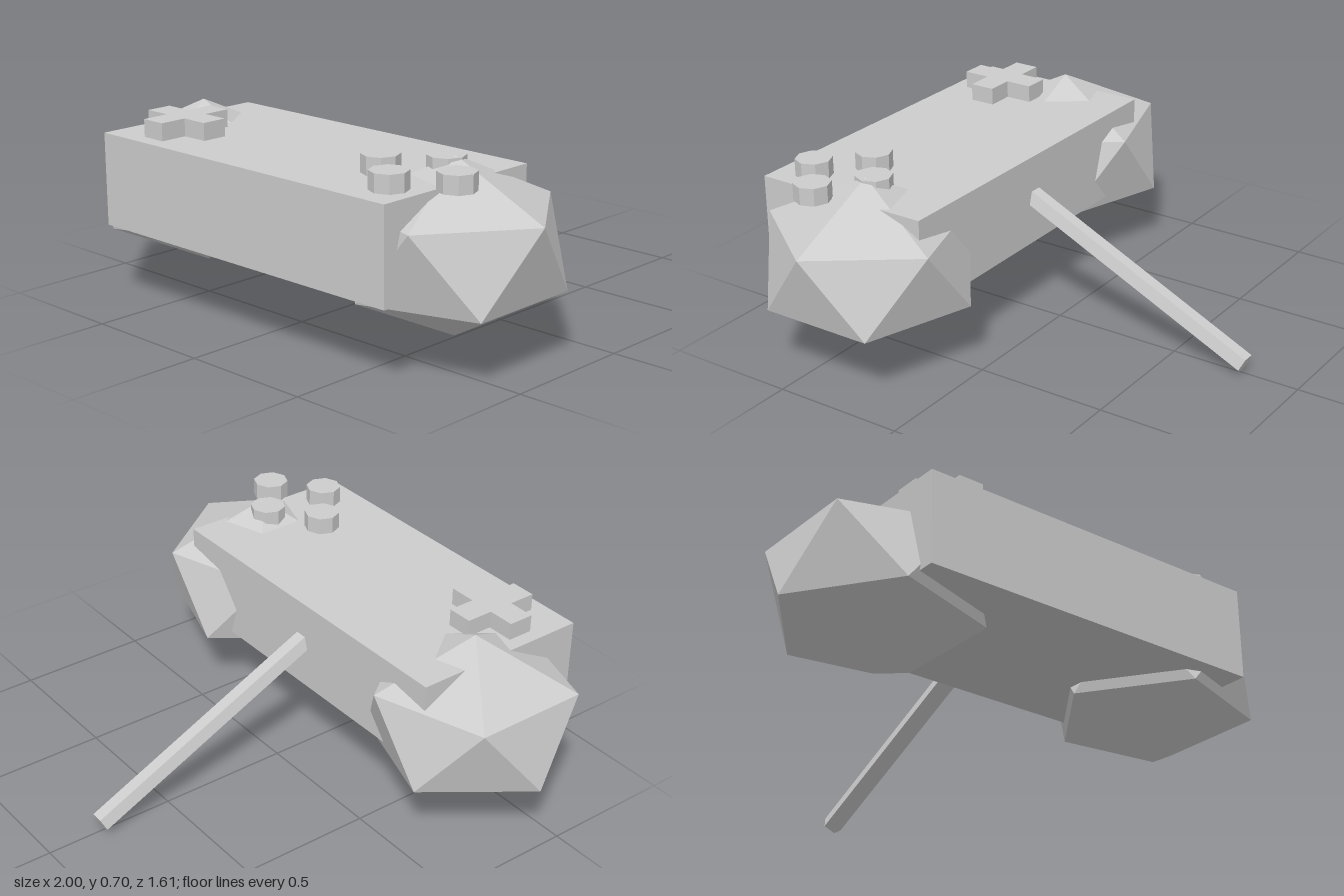
import * as THREE from 'three';

export function createModel() {
  const model = new THREE.Group();
  model.name = 'gamepad';
  const grey = new THREE.MeshStandardMaterial({ color: 0xcccccc, flatShading: true });
  grey.name = 'light grey';

  const add = (name, geometry, x, y, z) => {
    const mesh = new THREE.Mesh(geometry, grey);
    mesh.name = name;
    mesh.position.set(x, y, z);
    model.add(mesh);
    return mesh;
  };

  const top = 0.625;      // top face of the body
  const raise = 0.065;    // height of the controls

  // Body
  add('body', new THREE.BoxGeometry(1.388, 0.345, 0.695), 0, 0.4525, 0.457);

  // Faceted grips: squashed icosahedra standing on a corner, both turned the same way
  const grip = new THREE.IcosahedronGeometry(1, 0);
  grip.rotateZ(-Math.atan(2 / (1 + Math.sqrt(5))));
  grip.scale(0.419, 0.312, 0.417);
  add('leftGrip', grip, 0.625, 0.3825, 0.392);
  add('rightGrip', grip, -0.625, 0.3825, 0.392);

  // Direction pad: a plus-shaped outline, one arm per quarter turn
  const arm = 0.153, half = 0.049;
  const outline = [];
  for (let i = 0; i < 4; i++) {
    for (const [x, y] of [[arm, -half], [arm, half], [half, half]]) {
      outline.push(new THREE.Vector2(x, y).rotateAround(new THREE.Vector2(), i * Math.PI / 2));
    }
  }
  const pad = new THREE.ExtrudeGeometry(new THREE.Shape(outline), { depth: raise, bevelEnabled: false });
  pad.rotateX(-Math.PI / 2);
  add('directionPad', pad, -0.488, top, 0.593);

  // Four round buttons in a diamond
  const button = new THREE.CylinderGeometry(0.068, 0.068, raise, 8);
  [[0.415, 0.527], [0.75, 0.527], [0.583, 0.39], [0.583, 0.665]].forEach(([x, z], i) =>
    add('button' + (i + 1), button, x, top + raise / 2, z));

  // Five-sided cable sloping down behind the body
  const start = new THREE.Vector3(0, 0.467, 0.14);
  const end = new THREE.Vector3(0, 0.031, -0.788);
  const cable = new THREE.CylinderGeometry(0.04, 0.04, start.distanceTo(end), 5);
  cable.rotateX(-Math.PI / 2);
  // cable now runs along z with one edge facing up
  cable.rotateZ(Math.PI);
  const middle = start.clone().add(end).multiplyScalar(0.5);
  const cableMesh = add('cable', cable, middle.x, middle.y, middle.z);
  cableMesh.rotation.x = -Math.atan2(start.y - end.y, start.z - end.z);

  return model;
}
